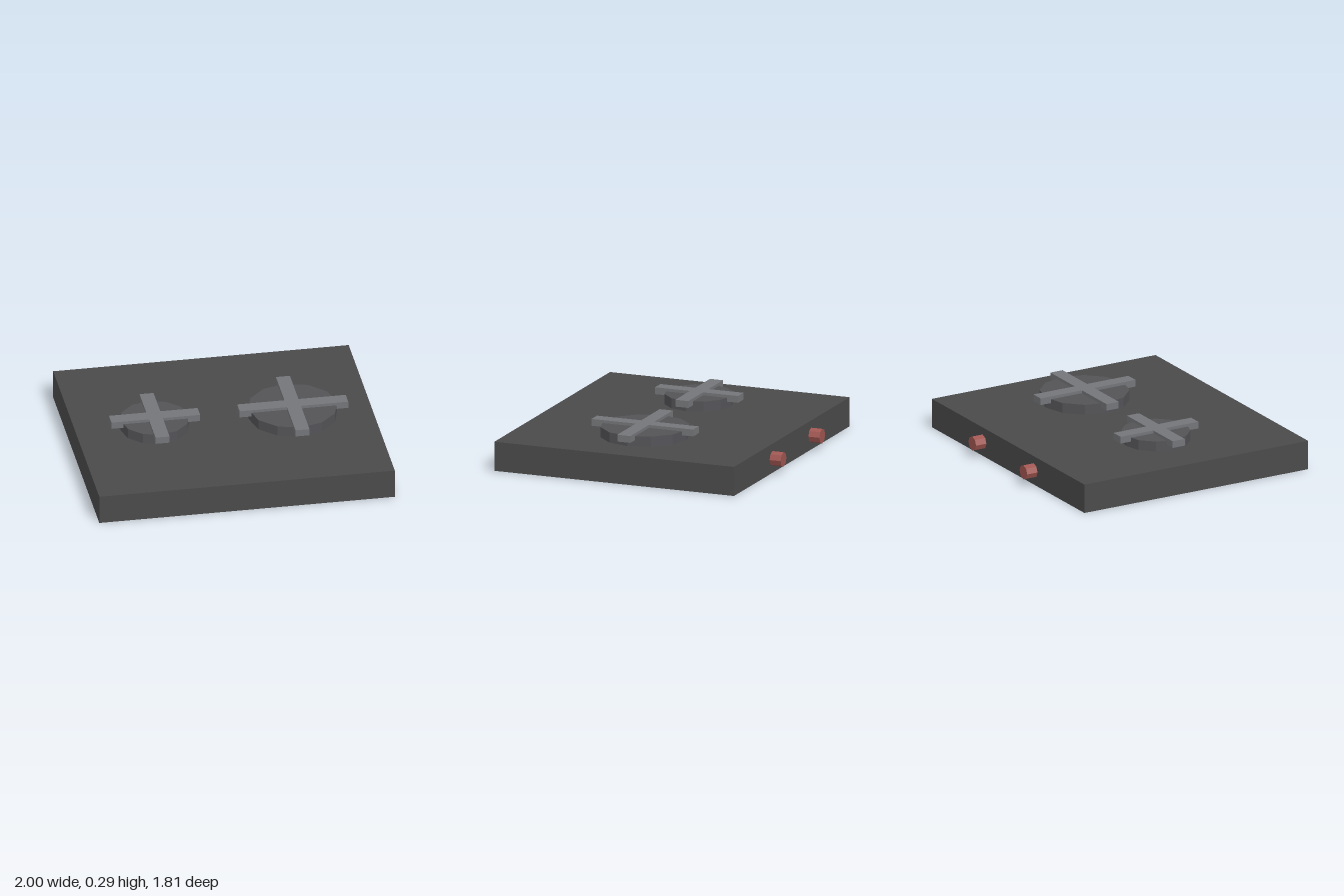
import * as THREE from 'three';

const mat = (color) => new THREE.MeshStandardMaterial({ color, flatShading: true });

export function createModel() {
  const model = new THREE.Group();
  model.name = 'cooktop';
  const slabMat = mat(0x4a4a4b);
  const burnerMat = mat(0x535357);
  const grateMat = mat(0x737578);
  const knobMat = mat(0xa05651);
  const centreZ = 0.04;

  const add = (name, geometry, material, x, y, z, parent = model) => {
    const mesh = new THREE.Mesh(geometry, material);
    mesh.name = name;
    mesh.position.set(x, y, z);
    parent.add(mesh);
    return mesh;
  };

  // Plus-shaped grate lying flat, its underside at y = 0
  const crossGeometry = (length, width, height) => {
    const a = length / 2, b = width / 2;
    const outline = [[a, -b], [a, b], [b, b], [b, a], [-b, a], [-b, b],
      [-a, b], [-a, -b], [-b, -b], [-b, -a], [b, -a], [b, -b]];
    const shape = new THREE.Shape(outline.map(([x, y]) => new THREE.Vector2(x, y)));
    return new THREE.ExtrudeGeometry(shape, { depth: height, bevelEnabled: false }).rotateX(-Math.PI / 2);
  };

  // Main slab
  add('slab', new THREE.BoxGeometry(2, 0.2, 1.73), slabMat, 0, 0.1, centreZ);

  // Burners: twelve-sided plate with a cross grate on top
  const burners = [
    { name: 'smallBurner', x: -0.47, radius: 0.232, grate: 0.6 },
    { name: 'largeBurner', x: 0.465, radius: 0.3, grate: 0.735 },
  ];
  for (const { name, x, radius, grate } of burners) {
    const burner = new THREE.Group();
    burner.name = name;
    burner.position.set(x, 0.2, centreZ);
    model.add(burner);
    add('burnerPlate', new THREE.CylinderGeometry(radius, radius, 0.07, 12), burnerMat, 0, 0.035, 0, burner);
    add('grate', crossGeometry(grate, 0.095, 0.047), grateMat, 0, 0.043, 0, burner);
  }

  // Knobs on the back edge
  for (const side of [-1, 1]) {
    const knob = new THREE.CylinderGeometry(0.05, 0.05, 0.08, 8).rotateX(Math.PI / 2);
    add(side < 0 ? 'rightKnob' : 'leftKnob', knob, knobMat, side * 0.335, 0.1, -0.865);
  }

  return model;
}
